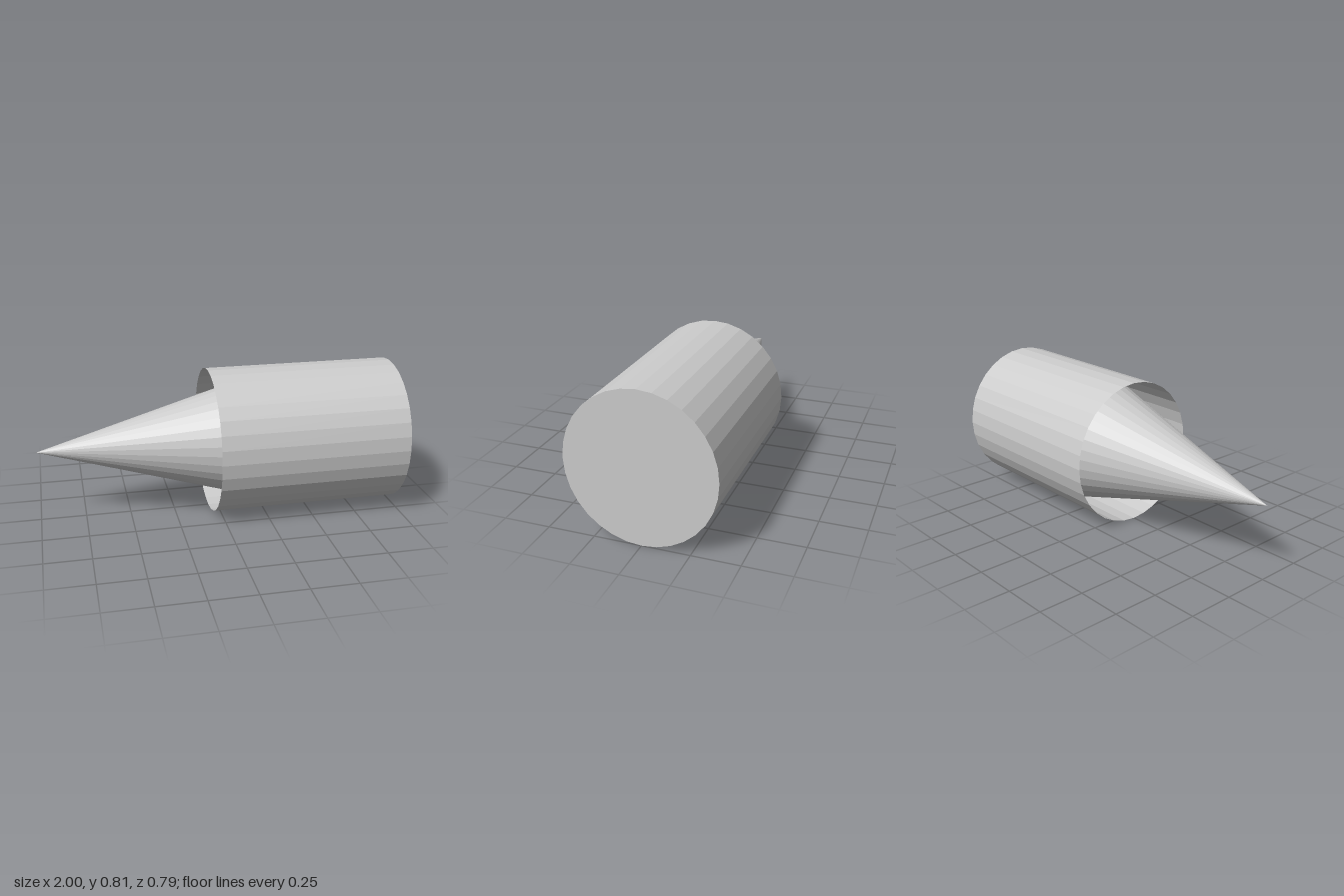
import * as THREE from 'three';

const SIDES = 32;
const RADIUS = 0.404;      // vertical radius; depth is slightly squashed
const DEPTH_RATIO = 0.973;

// Revolve a profile of [radius, x] points about the horizontal axis
function revolved(name, profile, material) {
  const points = profile.map(([r, x]) => new THREE.Vector2(r, -x));
  const geometry = new THREE.LatheGeometry(points, SIDES);
  geometry.rotateZ(Math.PI / 2);
  geometry.scale(1, 1, DEPTH_RATIO);
  geometry.translate(0, RADIUS, 0);
  const mesh = new THREE.Mesh(geometry, material);
  mesh.name = name;
  return mesh;
}

export function createModel() {
  const group = new THREE.Group();
  group.name = 'conePointedBarrel';
  const material = new THREE.MeshStandardMaterial({
    color: 0xcccccc, flatShading: true, side: THREE.DoubleSide,
  });

  // Thin barrel, closed at +x and open at the end the cone comes out of
  group.add(revolved('barrel', [[0, 1], [RADIUS, 1], [RADIUS, -0.05]], material));

  // Cone widening inside the barrel until it meets the wall
  group.add(revolved('coneTip', [[RADIUS, 0.42], [0, -1]], material));

  return group;
}
